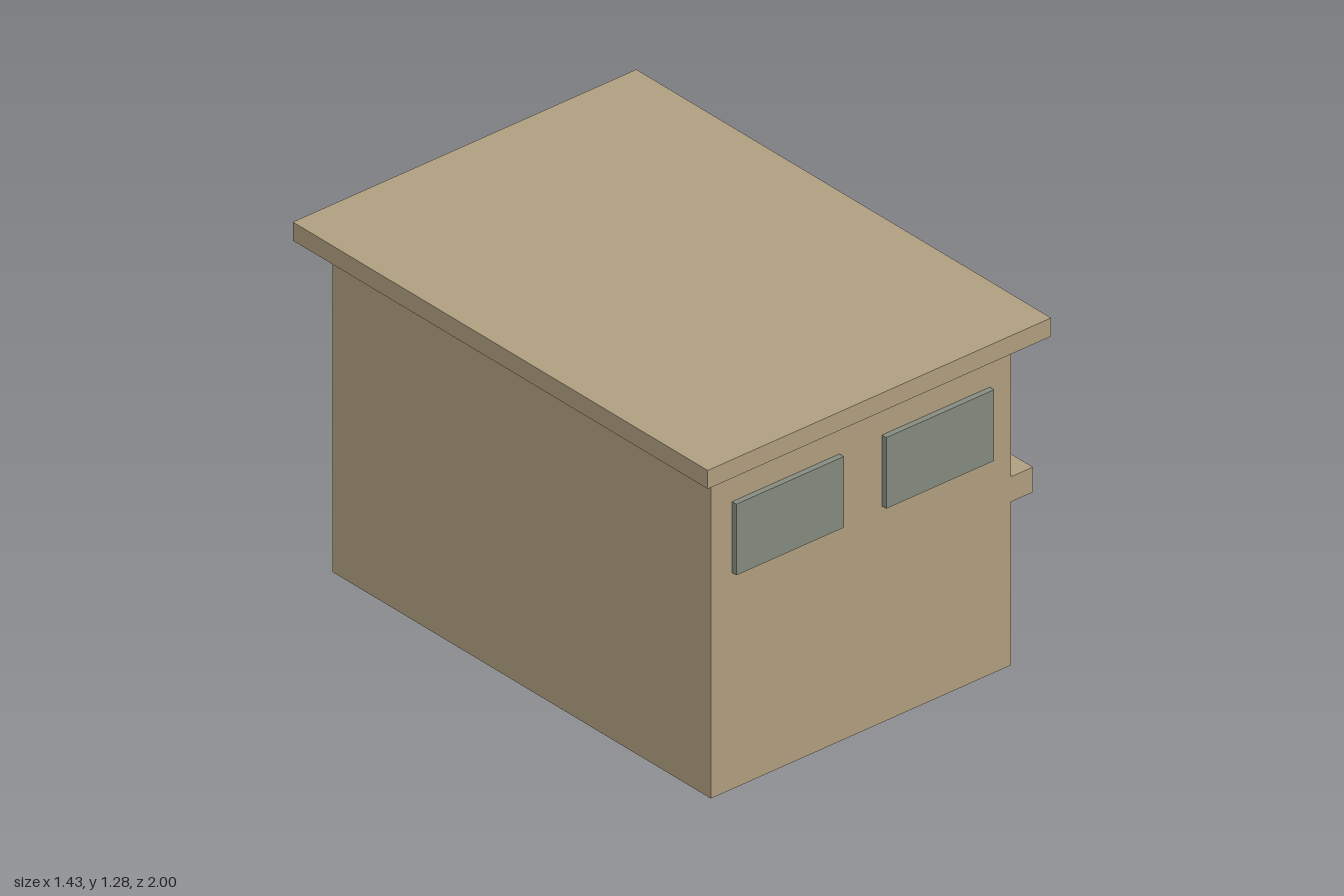
import * as THREE from 'three';

const wallMaterial = new THREE.MeshStandardMaterial({ color: 0xb09f80 });
const glassMaterial = new THREE.MeshStandardMaterial({ color: 0x858c80 });

// Box given by its extents along each axis
function block(name, [x0, x1], [y0, y1], [z0, z1], material) {
  const mesh = new THREE.Mesh(new THREE.BoxGeometry(x1 - x0, y1 - y0, z1 - z0), material);
  mesh.position.set((x0 + x1) / 2, (y0 + y1) / 2, (z0 + z1) / 2);
  mesh.name = name;
  return mesh;
}

export function createModel() {
  const model = new THREE.Group();
  model.name = 'building';

  // Main volume, overhanging flat roof and the ledge over the door
  model.add(
    block('walls', [-0.624, 0.622], [0, 1.212], [-0.912, 0.912], wallMaterial),
    block('roof', [-0.713, 0.713], [1.212, 1.28], [-1, 1], wallMaterial),
    block('ledge', [0.622, 0.713], [0.6, 0.692], [-0.912, 0.912], wallMaterial),
  );

  // Door on the left side
  model.add(block('door', [0.6, 0.632], [0, 0.528], [-0.148, 0.148], glassMaterial));

  // Window pairs on the front, back and left side
  const sill = [0.795, 1.056];
  for (const side of [-1, 1]) {
    const across = side > 0 ? [0.086, 0.534] : [-0.536, -0.09];
    const along = side > 0 ? [0.18, 0.732] : [-0.73, -0.178];
    model.add(
      block('frontWindow', across, sill, [0.9, 0.933], glassMaterial),
      block('backWindow', across, sill, [-0.919, -0.9], glassMaterial),
      block('sideWindow', [0.6, 0.637], sill, along, glassMaterial),
    );
  }
  return model;
}
